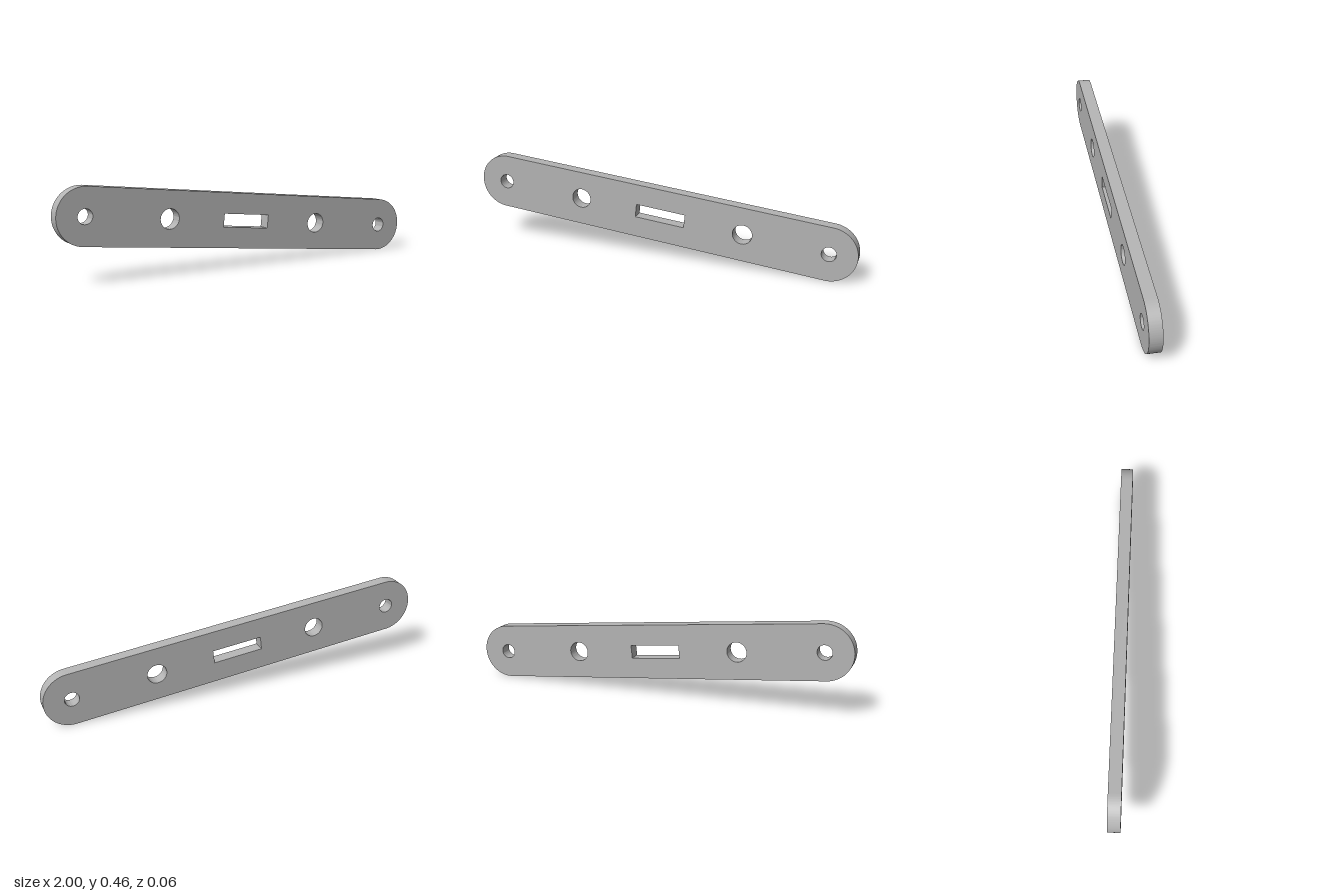
import * as THREE from 'three';
import { toCreasedNormals } from 'three/addons/utils/BufferGeometryUtils.js';

const TILT = THREE.MathUtils.degToRad(-6);
const END_RADIUS = 0.14;
const END_X = 0.865; // distance of the rounded end centres along the bar
const THICKNESS = 0.063;

function roundHole(x, radius) {
  const hole = new THREE.Path();
  hole.absarc(x, 0, radius, 0, Math.PI * 2, true);
  return hole;
}

function slotHole(width, height) {
  const w = width / 2, h = height / 2;
  return new THREE.Path([[-w, -h], [-w, h], [w, h], [w, -h]].map(([x, y]) => new THREE.Vector2(x, y))).closePath();
}

export function createModel() {
  const group = new THREE.Group();
  group.name = 'linkBar';
  const grey = new THREE.MeshStandardMaterial({ color: 0xb4b4b4 });
  grey.name = 'grey';

  // Bar outline with two rounded ends
  const outline = new THREE.Shape();
  outline.absarc(END_X, 0, END_RADIUS, -Math.PI / 2, Math.PI / 2, false);
  outline.absarc(-END_X, 0, END_RADIUS, Math.PI / 2, Math.PI * 1.5, false);
  outline.closePath();

  // Small end holes, larger inner holes and the centre slot
  for (const side of [-1, 1]) {
    outline.holes.push(roundHole(side * END_X, 0.037), roundHole(side * END_X / 2, 0.05));
  }
  outline.holes.push(slotHole(0.26, 0.068));

  const geometry = new THREE.ExtrudeGeometry(outline, { depth: THICKNESS, bevelEnabled: false, curveSegments: 40 });
  geometry.translate(0, 0, -THICKNESS / 2);

  // Tilt the bar so its left end is lower, resting on the ground
  const bar = new THREE.Mesh(toCreasedNormals(geometry, Math.PI / 6), grey);
  bar.name = 'bar';
  bar.rotation.z = TILT;
  bar.position.y = END_RADIUS + END_X * Math.sin(-TILT);
  group.add(bar);
  return group;
}
